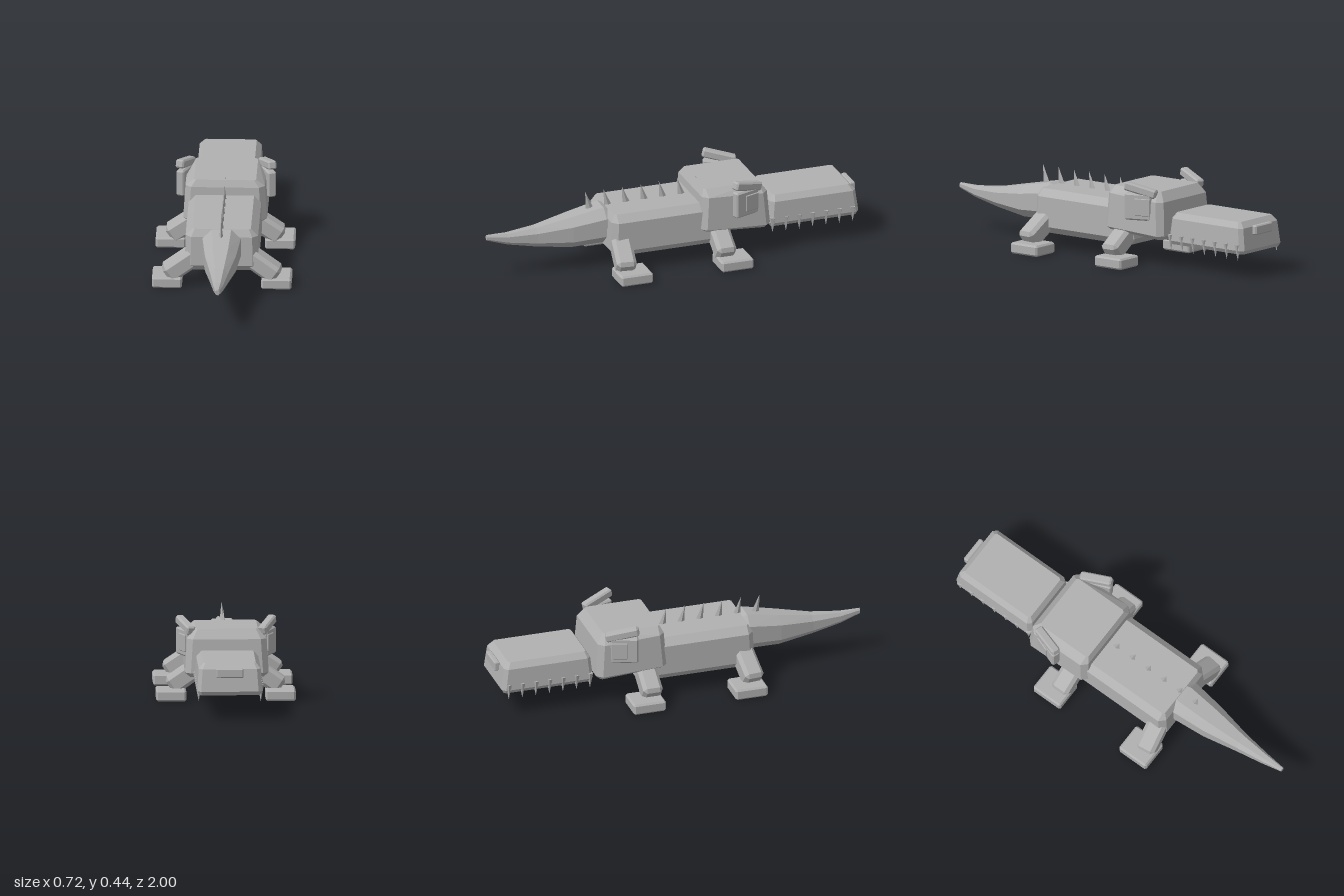
import * as THREE from 'three';
import { ConvexGeometry } from 'three/addons/geometries/ConvexGeometry.js';

const grey = new THREE.MeshStandardMaterial({ color: 0xb0b0b0 });
grey.name = 'plain grey';

// Convex solid from levels: [yBack, yFront, halfWidth, zBack, zFront, cornerCut]
function hull(levels) {
  const pts = [];
  for (const [yb, yf, hx, zb, zf, c] of levels) {
    for (const s of [-1, 1]) {
      pts.push(new THREE.Vector3(s * (hx - c), yb, zb), new THREE.Vector3(s * hx, yb, zb + c),
        new THREE.Vector3(s * hx, yf, zf - c), new THREE.Vector3(s * (hx - c), yf, zf));
    }
  }
  return new ConvexGeometry(pts);
}

// Box with every edge chamfered
function chamferBox(w, h, d, c) {
  const pts = [];
  for (const x of [-1, 1]) for (const y of [-1, 1]) for (const z of [-1, 1]) {
    const X = x * w / 2, Y = y * h / 2, Z = z * d / 2;
    pts.push(new THREE.Vector3(X, Y - y * c, Z - z * c), new THREE.Vector3(X - x * c, Y, Z - z * c),
      new THREE.Vector3(X - x * c, Y - y * c, Z));
  }
  return new ConvexGeometry(pts);
}

// Eight-sided ring of a tail section
function ring(z, hx, y0, y1) {
  const cy = (y0 + y1) / 2, hy = (y1 - y0) / 2, k = 0.5;
  return [[k, 1], [1, k], [1, -k], [k, -1], [-k, -1], [-1, -k], [-1, k], [-k, 1]]
    .map(([a, b]) => new THREE.Vector3(a * hx, cy + b * hy, z));
}

export function createModel() {
  const model = new THREE.Group();
  const add = (name, geo, pos = [0, 0, 0], rot = [0, 0, 0]) => {
    const m = new THREE.Mesh(geo, grey);
    m.name = name;
    m.position.set(...pos);
    m.rotation.set(rot[0], rot[1], rot[2], 'YXZ');
    model.add(m);
    return m;
  };

  // Trunk, head and long snout
  add('body', hull([
    [0.09, 0.09, 0.16, -0.24, 0.345, 0.01],
    [0.125, 0.125, 0.19, -0.27, 0.378, 0.03],
    [0.28, 0.28, 0.187, -0.26, 0.37, 0.03],
    [0.318, 0.318, 0.15, -0.23, 0.35, 0.01],
  ]));
  add('head', hull([
    [0.148, 0.168, 0.19, -0.465, -0.13, 0.01],
    [0.17, 0.185, 0.216, -0.488, -0.105, 0.03],
    [0.345, 0.36, 0.205, -0.475, -0.118, 0.03],
    [0.395, 0.395, 0.16, -0.44, -0.135, 0.01],
  ]));
  add('snout', hull([
    [0.13, 0.13, 0.155, -0.975, -0.505, 0.01],
    [0.15, 0.15, 0.168, -0.987, -0.493, 0.02],
    [0.265, 0.265, 0.16, -0.972, -0.505, 0.02],
    [0.295, 0.295, 0.135, -0.945, -0.525, 0.01],
  ]));
  add('noseTip', chamferBox(0.14, 0.05, 0.03, 0.006), [0, 0.247, -0.985]);

  // Tail in tapering segments
  const rings = [
    ring(0.34, 0.09, 0.145, 0.31), ring(0.375, 0.099, 0.13, 0.325), ring(0.55, 0.08, 0.124, 0.29),
    ring(0.735, 0.046, 0.148, 0.252), ring(0.89, 0.025, 0.178, 0.237), ring(1.0, 0.01, 0.213, 0.24),
  ];
  for (let i = 0; i < rings.length - 1; i++) {
    add('tailSegment' + (i + 1), new ConvexGeometry([...rings[i], ...rings[i + 1]]));
  }

  // Spikes along the back, leaning towards the tail
  for (let i = 0; i < 7; i++) {
    const z = 0.458 - i * 0.101, base = 0.295;
    const p = [[0, 0.405, z]];
    for (const s of [-1, 1]) p.push([s * 0.011, base, z - 0.027], [0, base, z - 0.027 + s * 0.024]);
    add('backSpike' + (i + 1), new ConvexGeometry(p.map(v => new THREE.Vector3(...v))));
  }

  const toothGeo = new THREE.ConeGeometry(0.017, 0.085, 5).rotateX(Math.PI).toNonIndexed();
  toothGeo.computeVertexNormals();

  for (const s of [1, -1]) {
    const side = s > 0 ? 'left' : 'right';

    // Teeth along the jaw edge
    for (let i = 0; i < 7; i++) {
      add(side + 'Tooth' + (i + 1), toothGeo, [s * 0.16, 0.138, -0.512 - i * 0.0733]);
    }

    // Eye plate, pupil and slanted brow
    add(side + 'Eye', chamferBox(0.045, 0.14, 0.145, 0.008), [s * 0.214, 0.315, -0.343], [0, s * 0.35, 0]);
    add(side + 'Pupil', chamferBox(0.012, 0.09, 0.085, 0.003), [s * 0.226, 0.315, -0.375], [0, s * 0.35, 0]);
    add(side + 'Brow', chamferBox(0.046, 0.045, 0.175, 0.008), [s * 0.211, 0.403, -0.354], [-0.24, s * 0.35, 0]);

    // Splayed legs and flat feet
    for (const [place, legZ, footZ, yaw] of [['Front', 0.325, 0.302, -0.12], ['Back', -0.213, -0.25, 0]]) {
      add(side + place + 'Leg', chamferBox(0.215, 0.1, 0.105, 0.018), [s * 0.2, 0.122, legZ], [0, s * yaw, s * -0.6]);
      add(side + place + 'Foot', chamferBox(0.155, 0.058, 0.175, 0.009), [s * 0.282, 0.029, footZ]);
    }
  }
  return model;
}
